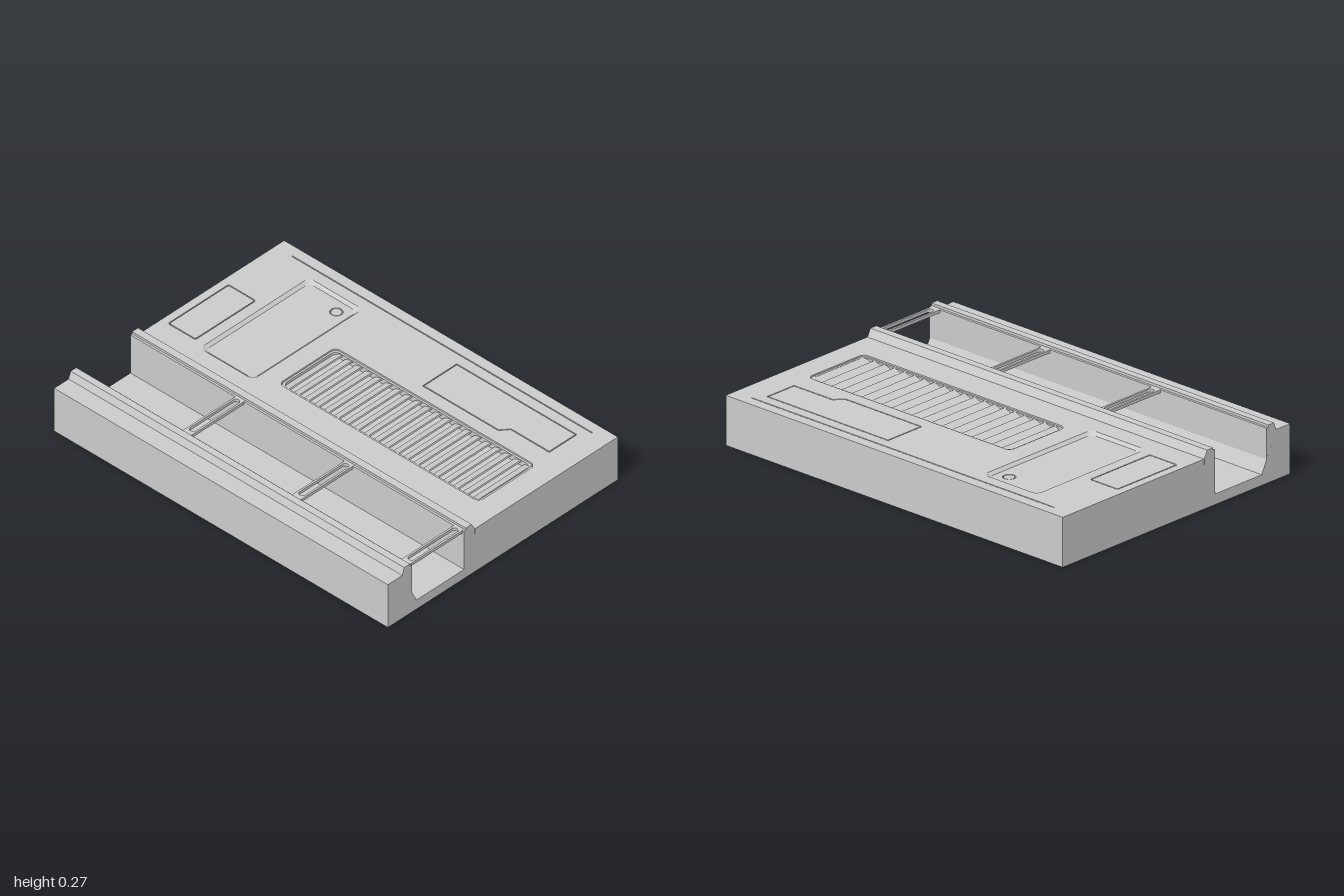
import * as THREE from 'three';

const TOP = 0.235, PLATE = 0.2; // deck surface, underside of the deck plate

export function createModel() {
  const model = new THREE.Group();
  const mat = new THREE.MeshStandardMaterial({ color: 0xcccccc, flatShading: true });
  const add = (name, geometry) => {
    const mesh = new THREE.Mesh(geometry, mat);
    mesh.name = name;
    model.add(mesh);
    return mesh;
  };
  const outline = pts => new THREE.Shape(pts.map(p => new THREE.Vector2(...p)));

  // Section given as [z, y], swept across the full width
  const sweepX = pts => new THREE.ExtrudeGeometry(outline(pts), { depth: 2, bevelEnabled: false })
    .rotateY(-Math.PI / 2).translate(1, 0, 0);
  // Plan given as [x, -z], raised from y0 to y1
  const raise = (shape, y0, y1) => new THREE.ExtrudeGeometry(shape, { depth: y1 - y0, bevelEnabled: false, curveSegments: 6 })
    .rotateX(-Math.PI / 2).translate(0, y0, 0);

  // Rounded rectangle in plan, inset by d
  const roundRect = (x0, x1, z0, z1, r, d = 0) => {
    const s = new THREE.Shape();
    const [l, rt, b, t] = [x0 + d, x1 - d, -z1 + d, -z0 - d];
    s.absarc(rt - r, t - r, r, 0, Math.PI / 2);
    s.absarc(l + r, t - r, r, Math.PI / 2, Math.PI);
    s.absarc(l + r, b + r, r, Math.PI, Math.PI * 1.5);
    s.absarc(rt - r, b + r, r, Math.PI * 1.5, Math.PI * 2);
    s.closePath();
    return s;
  };

  // Sloped wall between an upper outline and a lower, inset one
  const slopedWall = (upper, yU, lower, yL) => {
    const a = upper.getPoints(6), b = lower.getPoints(6), pos = [], idx = [];
    a.forEach((p, i) => pos.push(p.x, yU, -p.y, b[i].x, yL, -b[i].y));
    for (let i = 0; i < a.length; i++) {
      const u = 2 * i, v = 2 * ((i + 1) % a.length);
      idx.push(u, v, u + 1, v, v + 1, u + 1);
    }
    const g = new THREE.BufferGeometry();
    g.setAttribute('position', new THREE.Float32BufferAttribute(pos, 3));
    g.setIndex(idx);
    g.computeVertexNormals();
    return g;
  };

  // Base slab with the front channel
  add('baseSlab', sweepX([[-0.72, 0], [0.72, 0], [0.72, TOP], [0.63, TOP], [0.54, 0.05],
    [0.175, 0.05], [0.175, PLATE], [-0.72, PLATE]]));

  // Rails along both sides of the channel
  add('frontRail', sweepX([[0.63, TOP], [0.617, 0.271], [0.582, 0.271], [0.582, 0.259],
    [0.57, 0.259], [0.57, 0.112]]));
  add('backRail', sweepX([[0.175, 0.05], [0.243, 0.05], [0.243, 0.259], [0.232, 0.259],
    [0.232, 0.271], [0.195, 0.271], [0.176, TOP]]));

  // Slotted cross bars bridging the channel
  for (const x of [-0.345, 0.31, 0.965]) {
    const bar = roundRect(x - 0.026, x + 0.026, 0.235, 0.575, 0.001);
    bar.holes.push(roundRect(x - 0.016, x + 0.016, 0.25, 0.55, 0.0155));
    add('crossBar', raise(bar, 0.245, 0.26));
  }

  // Deck plate with all its openings
  const hatch = d => outline([[0.14 + d, 0.61 - d], [0.14 + d, 0.395 + d], [0.595 - d / 2, 0.395 + d],
    [0.63 - d / 2, 0.437 + d], [0.86 - d, 0.437 + d], [0.86 - d, 0.61 - d]]);
  const sideHatch = d => roundRect(-0.96, -0.795, -0.33, 0.05, 0.01, d);
  const tray = d => roundRect(-0.74, -0.42, -0.605, 0.08, 0.03, d);
  const vent = d => roundRect(-0.32, 0.88, -0.33, 0.025, 0.03, d);
  const seam = roundRect(-0.9, 0.9, -0.667, -0.662, 0.002);

  const deck = outline([[-1, -0.175], [1, -0.175], [1, 0.72], [-1, 0.72]]);
  deck.holes.push(hatch(0), sideHatch(0), tray(0), vent(0), seam);
  add('deck', raise(deck, PLATE, TOP));
  add('seamFloor', raise(seam, PLATE, TOP - 0.005));

  // Hatch lids sitting in narrow grooves
  add('backHatch', raise(hatch(0.005), PLATE, TOP));
  add('sideHatch', raise(sideHatch(0.005), PLATE, TOP));

  // Shallow tray with sloped sides and a round drain
  const trayFloor = tray(0.016), trayY = TOP - 0.013;
  add('trayWall', slopedWall(tray(0), TOP, trayFloor, trayY));
  const drain = new THREE.Path().absarc(-0.5, 0.525, 0.03, 0, Math.PI * 2);
  trayFloor.holes.push(drain);
  add('trayFloor', raise(trayFloor, PLATE, trayY));
  add('drainCap', new THREE.CylinderGeometry(0.025, 0.025, 0.02, 24).translate(-0.5, trayY - 0.011, -0.525));

  // Vent: inner frame and a row of tilted slats
  const frame = vent(0.002);
  frame.holes.push(vent(0.012));
  add('ventFrame', raise(frame, PLATE, TOP - 0.006));
  const slats = 20, x0 = -0.285, pitch = 1.13 / (slats - 1);
  for (let i = 0; i < slats; i++) {
    const slat = add('ventSlat', new THREE.BoxGeometry(0.044, 0.008, 0.33));
    slat.position.set(x0 + i * pitch, TOP - 0.016, -0.1525);
    slat.rotation.z = 0.35;
  }
  return model;
}
